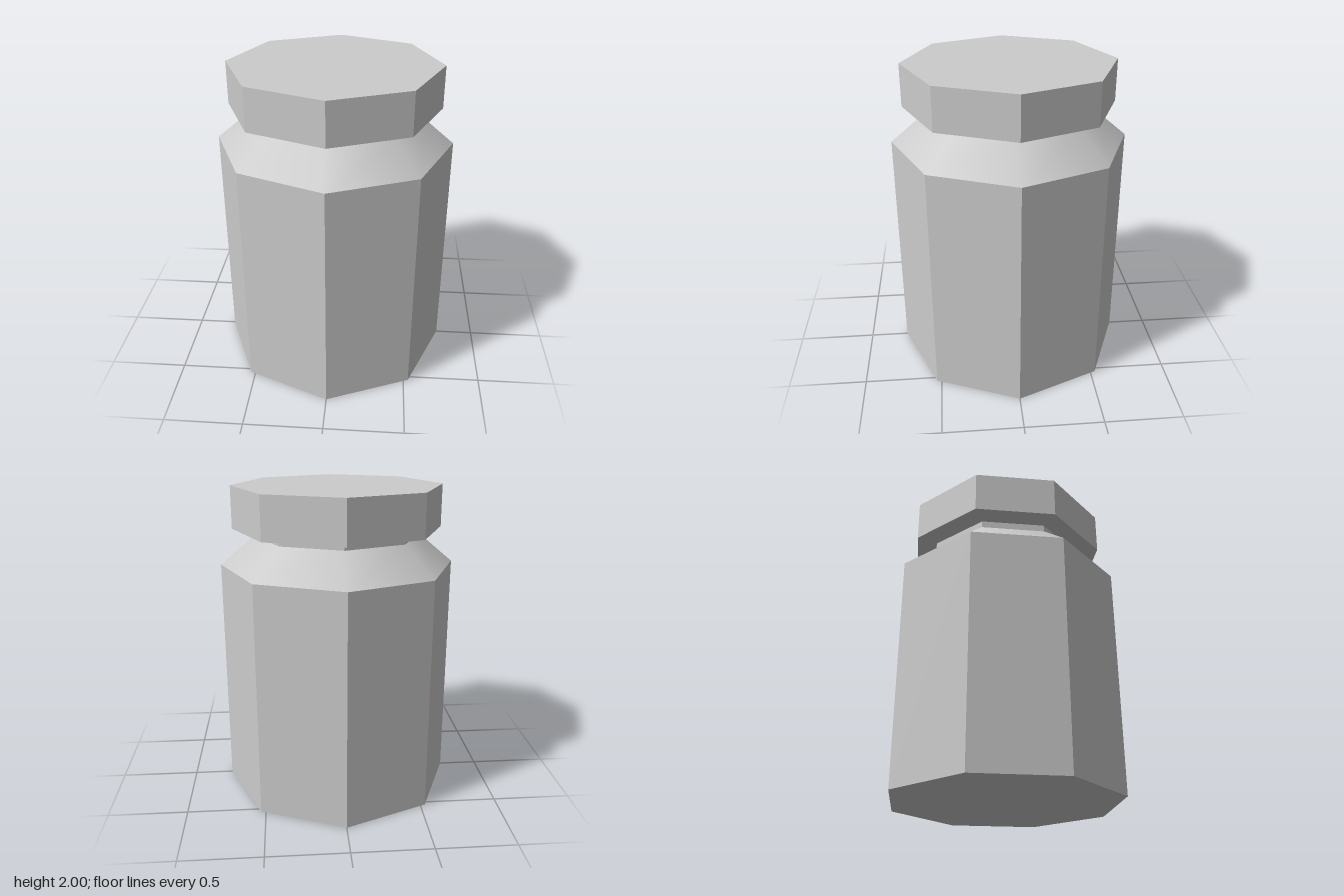
import * as THREE from 'three';

const SIDES = 8;

export function createModel() {
  const jar = new THREE.Group();
  jar.name = 'jar';
  const faceted = new THREE.MeshStandardMaterial({ color: 0xcccccc, flatShading: true });
  const smooth = new THREE.MeshStandardMaterial({ color: 0xcccccc });

  // Adds one eight-sided ring between two heights, with a corner on each axis
  function addRing(name, bottomRadius, topRadius, y0, y1, material, open) {
    const geometry = new THREE.CylinderGeometry(topRadius, bottomRadius, y1 - y0, SIDES, 1, open);
    const mesh = new THREE.Mesh(geometry, material);
    mesh.name = name;
    mesh.position.y = (y0 + y1) / 2;
    jar.add(mesh);
  }

  // Straight walls and the base they stand on
  addRing('body', 0.75, 0.75, 0, 1.5, faceted, true);
  const base = new THREE.Mesh(new THREE.CircleGeometry(0.75, SIDES), faceted);
  base.name = 'base';
  base.rotation.x = Math.PI / 2;
  jar.add(base);

  // Softly shaded slope up to the neck
  addRing('shoulder', 0.75, 0.53, 1.5, 1.685, smooth, true);

  // Short neck, closed above by the lid
  addRing('neck', 0.53, 0.53, 1.685, 1.73, faceted, true);

  // Wide screw lid
  addRing('lid', 0.67, 0.67, 1.73, 2, faceted, false);

  return jar;
}
